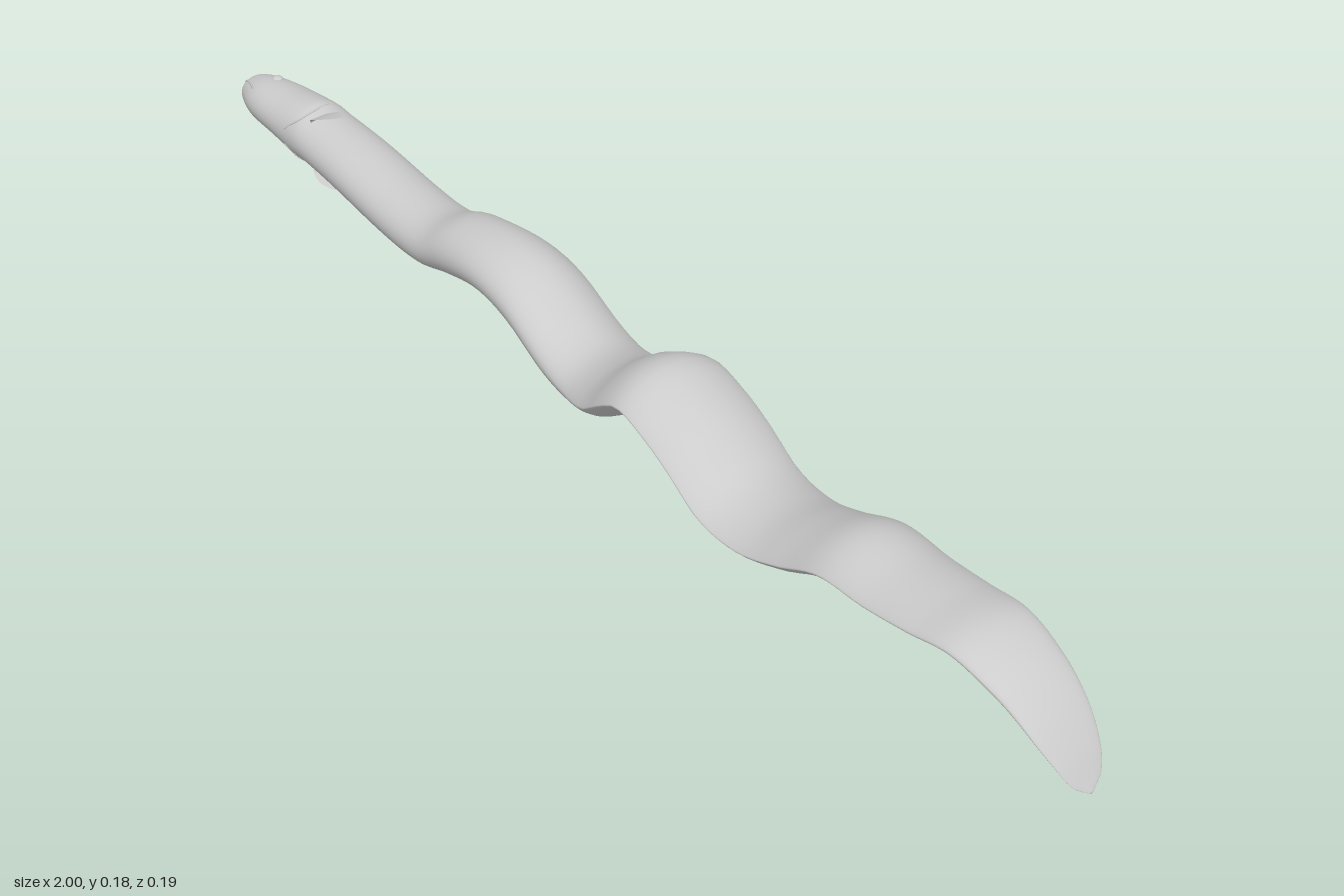
import * as THREE from 'three';

// body wave: x, top y, bottom y
const HEIGHTS = [
  [-1, .073, .067], [-.993, .088, .052], [-.975, .098, .042], [-.94, .107, .035],
  [-.88, .114, .03], [-.81, .122, .02], [-.785, .116, .024], [-.7, .11, .02],
  [-.55, .1, .01], [-.45, .105, .014], [-.38, .135, .035], [-.28, .15, .06],
  [-.2, .14, .05], [-.1, .092, .01], [-.04, .083, .003], [.03, .11, .02],
  [.08, .15, .058], [.13, .17, .095], [.2, .153, .08], [.25, .132, .055],
  [.32, .09, .02], [.4, .09, .016], [.48, .122, .042], [.56, .158, .085],
  [.65, .159, .1], [.73, .166, .12], [.81, .175, .14], [.88, .152, .12],
  [.93, .115, .092], [.97, .068, .054], [1, .019, .016],
];

// outline from above: x, back z, belly z
const WIDTHS = [
  [-1, -.012, -.004], [-.993, -.034, .012], [-.975, -.046, .023], [-.94, -.056, .033],
  [-.88, -.068, .036], [-.7, -.083, .037], [-.4, -.083, .046], [-.28, -.096, .051],
  [-.1, -.1, .056], [-.04, -.098, .062], [.03, -.095, .08], [.08, -.091, .089],
  [.3, -.089, .094], [.56, -.073, .091], [.81, -.054, .084], [.93, -.044, .063],
  [.97, -.034, .046], [.99, -.02, .03], [1, .002, .008],
];

const material = new THREE.MeshStandardMaterial({ color: 0xcccccc });
const thinMaterial = new THREE.MeshStandardMaterial({ color: 0xcccccc, side: THREE.DoubleSide });

// smooth value of a table column at x
function sample(table, column, x) {
  const last = table.length - 1;
  let i = 0;
  while (i < last - 1 && table[i + 1][0] < x) i++;
  const slope = k => {
    const a = table[Math.max(k - 1, 0)], b = table[Math.min(k + 1, last)];
    return (b[column] - a[column]) / (b[0] - a[0]);
  };
  const span = table[i + 1][0] - table[i][0], t = (x - table[i][0]) / span;
  const ease = t * t * (3 - 2 * t);
  return table[i][column] * (1 - ease) + table[i + 1][column] * ease
    + span * t * (1 - t) * (slope(i) * (1 - t) - slope(i + 1) * t);
}

// how strongly a side is pinched into a fin that begins between two x values
function pinchAt(x, start, full) {
  const { smoothstep } = THREE.MathUtils;
  return 1 + .7 * smoothstep(x, start, full) * (1 - smoothstep(x, .55, .93));
}

// point on the skin; angle 0 is the belly edge, PI the back edge
function skinPoint(x, angle) {
  const top = sample(HEIGHTS, 1, x), bottom = sample(HEIGHTS, 2, x);
  const back = sample(WIDTHS, 1, x), belly = sample(WIDTHS, 2, x);
  const c = Math.cos(angle), s = Math.sin(angle);
  const pinch = c < 0 ? pinchAt(x, -.42, -.28) : pinchAt(x, -.12, .06);
  const y = (top + bottom) / 2 + (top - bottom) / 2 * Math.sign(s) * Math.abs(s) ** pinch;
  return new THREE.Vector3(x, y, (back + belly) / 2 + (belly - back) / 2 * c);
}

// skin lofted through rings, closer together at both ends
function bodyGeometry() {
  const sides = 40, rings = 160;
  const positions = [], index = [];
  for (let i = 0; i <= rings; i++) {
    const x = -Math.cos(Math.PI * i / rings);
    for (let j = 0; j < sides; j++) {
      positions.push(...skinPoint(x, j / sides * Math.PI * 2).toArray());
      if (i === rings) continue;
      const a = i * sides + j, b = i * sides + (j + 1) % sides;
      index.push(a, a + sides, b, b, a + sides, b + sides);
    }
  }
  // end caps
  for (let j = 1; j < sides - 1; j++) {
    index.push(0, j, j + 1);
    index.push(rings * sides, rings * sides + j + 1, rings * sides + j);
  }
  const geometry = new THREE.BufferGeometry();
  geometry.setAttribute('position', new THREE.Float32BufferAttribute(positions, 3));
  geometry.setIndex(index);
  geometry.computeVertexNormals();
  return geometry;
}

// leaf-shaped fin that curls away from the body
function pectoralFinGeometry() {
  const geometry = new THREE.PlaneGeometry(1, 1, 12, 6);
  const p = geometry.attributes.position;
  for (let i = 0; i < p.count; i++) {
    const t = p.getX(i) + .5, across = p.getY(i);
    const width = .008 * (1 - t) + .034 * Math.max(Math.sin(Math.PI * t), 0) ** .7;
    p.setXYZ(i, -.785 + .062 * t, .04 + .032 * Math.sqrt(t), .005 - .022 * t + across * width);
  }
  geometry.computeVertexNormals();
  return geometry;
}

function add(parent, name, geometry, mat = material) {
  const mesh = new THREE.Mesh(geometry, mat);
  mesh.name = name;
  parent.add(mesh);
  return mesh;
}

// thin fold following the skin through (x, angle) pairs
function foldGeometry(pairs, side) {
  const curve = new THREE.CatmullRomCurve3(pairs.map(([x, angle]) => skinPoint(x, side * angle)));
  return new THREE.TubeGeometry(curve, 24, .002, 6);
}

export function createModel() {
  const model = new THREE.Group();
  model.name = 'eel';
  add(model, 'body', bodyGeometry());

  // paired parts on both flanks
  for (const side of [1, -1]) {
    const label = side > 0 ? 'upper' : 'lower';

    const fin = add(model, label + 'PectoralFin', pectoralFinGeometry(), thinMaterial);
    fin.position.y = .07;
    fin.scale.y = side;

    const eye = add(model, label + 'Eye', new THREE.SphereGeometry(.009, 16, 12));
    eye.position.copy(skinPoint(-.937, side * 1.85));
    eye.scale.y = .5;

    add(model, label + 'Lip', foldGeometry(
      [[-.994, .9], [-.984, .95], [-.968, .95], [-.947, .85]], side));
    add(model, label + 'GillEdge', foldGeometry(
      [[-.83, .3], [-.807, .8], [-.8, 1.3], [-.805, 1.9]], side));
  }
  return model;
}
